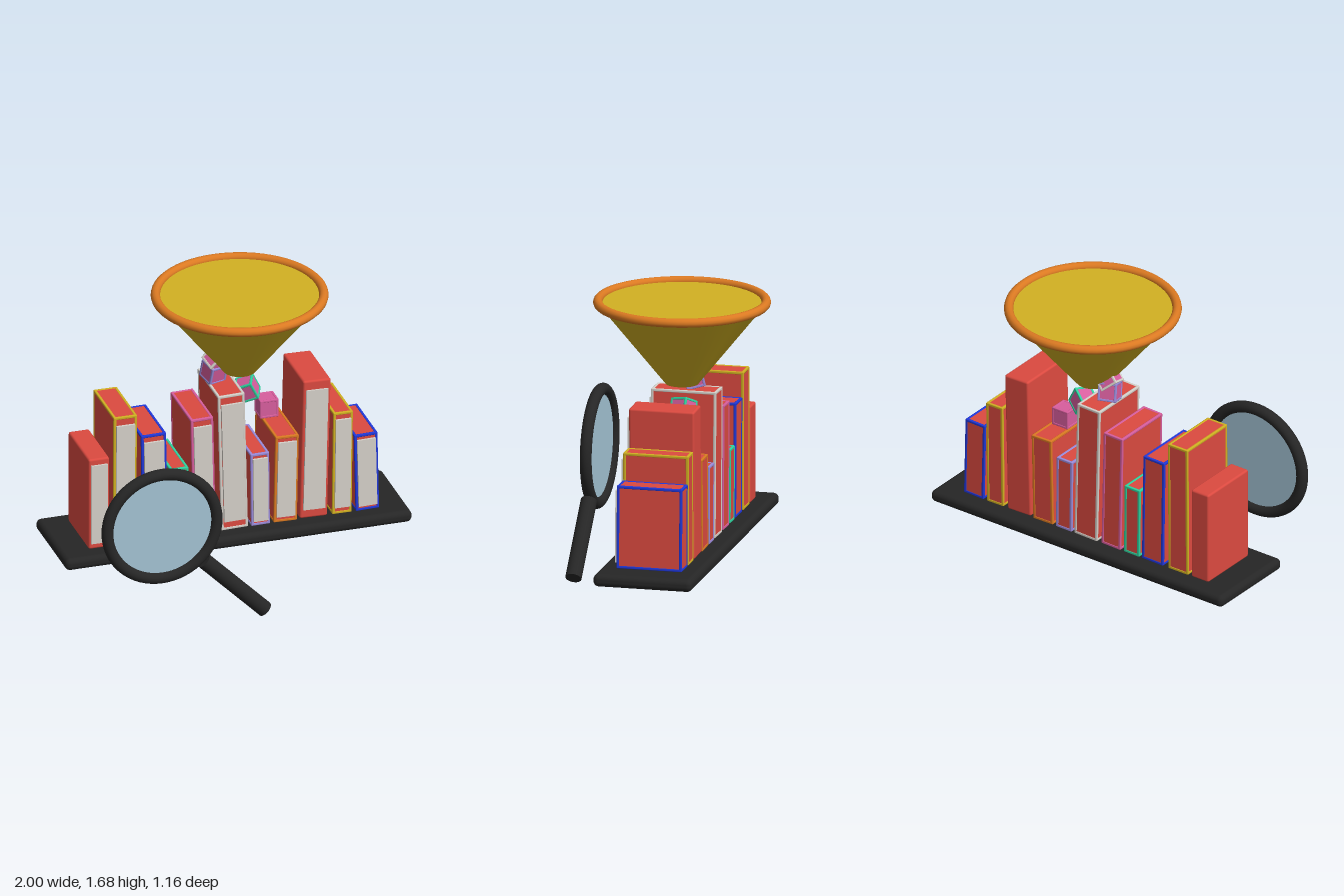
import * as THREE from 'three';
import { RoundedBoxGeometry } from 'three/addons/geometries/RoundedBoxGeometry.js';

const colours = {
  red: 0xdc4a40, black: 0x262626, page: 0xd6d1ca, yellow: 0xd2b122, orange: 0xdc7a22,
  blue: 0x2038dc, green: 0x30d4a0, pink: 0xd85e9e, lavender: 0x9c8cdc, glass: 0xa4c4d5,
};

export function createModel() {
  const mats = {};
  for (const [name, color] of Object.entries(colours)) {
    mats[name] = new THREE.MeshStandardMaterial({ color });
    mats[name].name = name;
  }
  const root = new THREE.Group();
  root.name = 'shelfScene';

  const add = (parent, name, geometry, mat, x = 0, y = 0, z = 0) => {
    const mesh = new THREE.Mesh(geometry, mats[mat]);
    mesh.name = name;
    mesh.position.set(x, y, z);
    parent.add(mesh);
    return mesh;
  };

  // Box centred at the group's origin, with coloured strips along its twelve edges
  const trimmedBox = (parent, name, w, h, d, body, trim, t) => {
    if (!trim) return add(parent, name, new RoundedBoxGeometry(w, h, d, 2, 0.012), body);
    const size = [w, h, d];
    add(parent, name, new THREE.BoxGeometry(w - 0.006, h - 0.006, d - 0.006), body);
    for (let axis = 0; axis < 3; axis++) {
      const a = (axis + 1) % 3, b = (axis + 2) % 3;
      const dims = [t, t, t];
      dims[axis] = size[axis];
      for (const sa of [-1, 1]) for (const sb of [-1, 1]) {
        const p = [0, 0, 0];
        p[a] = sa * (size[a] - t) / 2;
        p[b] = sb * (size[b] - t) / 2;
        add(parent, name + 'Trim', new RoundedBoxGeometry(...dims, 1, t * 0.3), trim, ...p);
      }
    }
  };

  // Shelf board
  add(root, 'shelf', new RoundedBoxGeometry(2, 0.07, 0.56, 4, 0.03), 'black', 0, 0.285, -0.09);

  // Books: base centre x, width, top y, lean, trim colour
  const books = [
    [-0.78, 0.12, 0.87, 0, null],
    [-0.632, 0.135, 1.105, -0.006, 'yellow'],
    [-0.455, 0.145, 0.97, 0.015, 'blue'],
    [-0.312, 0.105, 0.74, 0.01, 'green'],
    [-0.17, 0.13, 1.025, 0.022, 'pink'],
    [0.003, 0.155, 1.145, 0.024, 'page'],
    [0.153, 0.108, 0.76, 0.01, 'lavender'],
    [0.295, 0.135, 0.843, -0.022, 'orange'],
    [0.458, 0.16, 1.16, -0.025, null],
    [0.622, 0.113, 0.94, -0.012, 'yellow'],
    [0.77, 0.135, 0.787, 0.022, 'blue'],
  ];
  for (const [x, w, top, lean, trim] of books) {
    const h = top - 0.32;
    const book = new THREE.Group();
    book.name = 'book';
    book.position.set(x - Math.sin(lean) * h / 2, 0.32 + h / 2, -0.09);
    book.rotation.z = lean;
    trimmedBox(book, 'bookCover', w, h, 0.37, 'red', trim, 0.016);
    add(book, 'bookPages', new THREE.BoxGeometry(w * 0.79, h * 0.87, 0.05), 'page', 0, 0, 0.171);
    root.add(book);
  }

  // Funnel: capped cone with a round rim
  const funnel = new THREE.Group();
  funnel.name = 'funnel';
  funnel.position.set(0.09, 0, -0.09);
  add(funnel, 'funnelCone', new THREE.CylinderGeometry(0.463, 0.09, 0.462, 32), 'yellow', 0, 1.426, 0);
  add(funnel, 'funnelRim', new THREE.TorusGeometry(0.463, 0.026, 12, 64), 'orange', 0, 1.657, 0)
    .rotation.x = Math.PI / 2;
  root.add(funnel);

  // Falling cubes: position, rotation, trim colour
  const cubes = [
    [[-0.05, 1.2, -0.12], [0.25, 0.3, -0.1], 'lavender'],
    [[-0.03, 1.27, -0.11], [0.3, 0.2, -0.75], 'page'],
    [[0.14, 1.065, -0.11], [0.2, -0.4, 0.5], 'green'],
    [[0.255, 0.94, -0.12], [0, 0, 0], 'pink'],
  ];
  for (const [pos, rot, trim] of cubes) {
    const cube = new THREE.Group();
    cube.name = 'fallingCube';
    cube.position.set(...pos);
    cube.rotation.set(...rot);
    trimmedBox(cube, 'cube', 0.108, 0.108, 0.108, 'pink', trim, 0.014);
    root.add(cube);
  }

  // Magnifying glass
  const magnifier = new THREE.Group();
  magnifier.name = 'magnifyingGlass';
  magnifier.position.set(-0.56, 0.635, 0.54);
  add(magnifier, 'lensRing', new THREE.TorusGeometry(0.315, 0.033, 16, 64), 'black');
  add(magnifier, 'lens', new THREE.CylinderGeometry(0.31, 0.31, 0.01, 64), 'glass')
    .rotation.x = Math.PI / 2;
  const handle = add(magnifier, 'handle', new THREE.CylinderGeometry(0.045, 0.045, 0.5, 24), 'black', 0.417, -0.424, 0);
  handle.rotation.z = Math.PI / 4;
  root.add(magnifier);

  return root;
}
